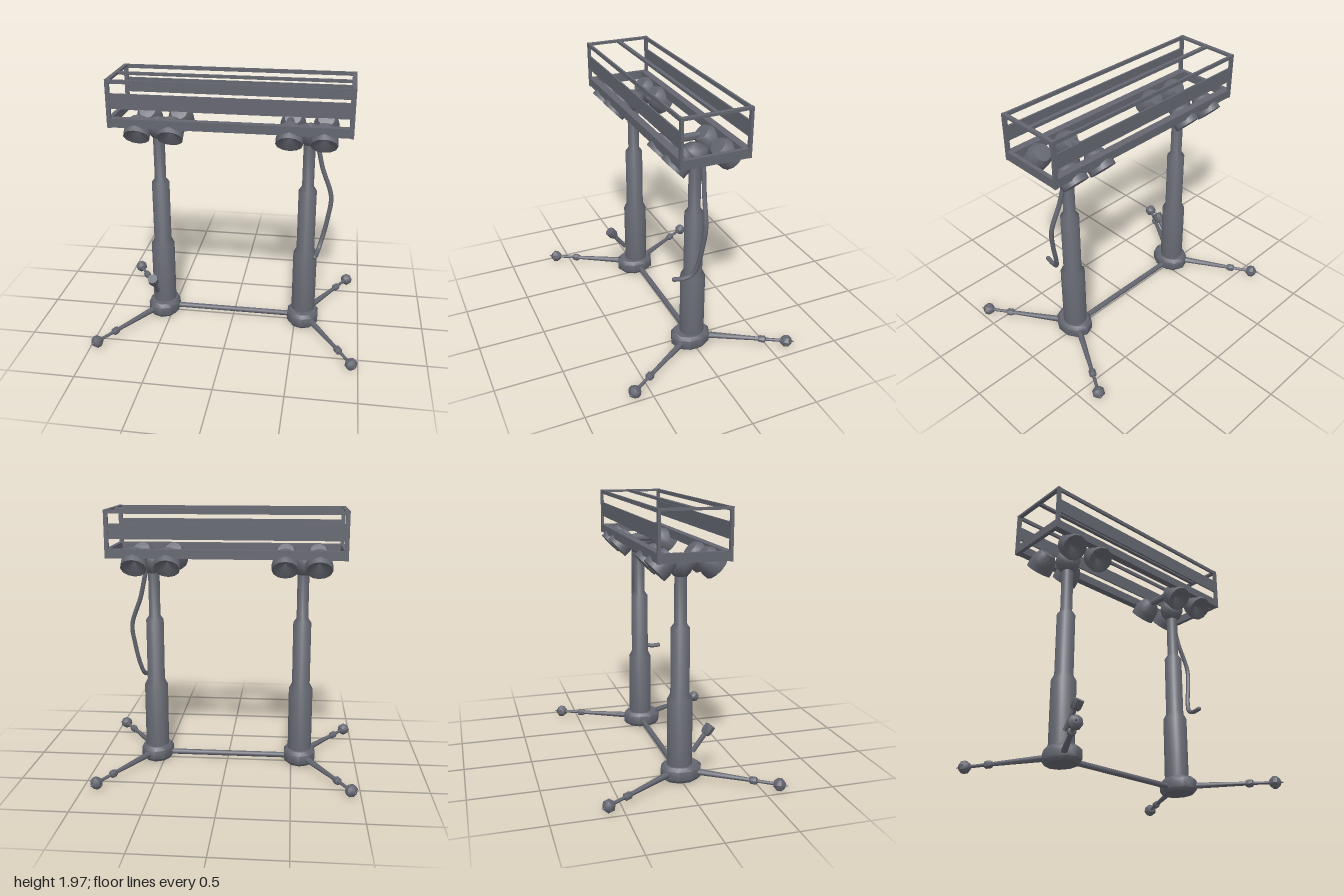
import * as THREE from 'three';
import { toCreasedNormals } from 'three/addons/utils/BufferGeometryUtils.js';

const steel = new THREE.MeshStandardMaterial({ color: 0x646670 });
steel.name = 'grey steel';

const V = (x, y, z) => new THREE.Vector3(x, y, z);
const UP = V(0, 1, 0);

export function createModel() {
  const model = new THREE.Group();
  model.name = 'lightingTower';

  function add(parent, name, geometry) {
    const mesh = new THREE.Mesh(geometry, steel);
    mesh.name = name;
    parent.add(mesh);
    return mesh;
  }

  function group(name) {
    const g = new THREE.Group();
    g.name = name;
    model.add(g);
    return g;
  }

  function box(parent, name, size, pos) {
    add(parent, name, new THREE.BoxGeometry(...size)).position.set(...pos);
  }

  // Turned part: profile of [radius, height] pairs, bottom to top
  function turned(parent, name, profile, sides, crease = 0.7) {
    const pts = profile.map(([r, y]) => new THREE.Vector2(r, y));
    return add(parent, name, toCreasedNormals(new THREE.LatheGeometry(pts, sides), crease));
  }

  // Place a turned part so that its axis runs from a point along a direction
  function aim(mesh, origin, dir) {
    mesh.position.copy(origin);
    mesh.quaternion.setFromUnitVectors(UP, dir.clone().normalize());
  }

  function rod(parent, name, a, b, r0, r1 = r0, sides = 10) {
    const d = b.clone().sub(a);
    const l = d.length();
    aim(turned(parent, name, [[0, 0], [r0, 0], [r1, l], [0, l]], sides), a, d);
  }

  // Telescopic columns with base collar and swivel head
  for (const x of [-0.565, 0.56]) {
    const column = group(x < 0 ? 'rightColumn' : 'leftColumn');
    turned(column, 'mast', [
      [0, 0.02], [0.091, 0.02], [0.091, 0.6], [0.068, 0.645],
      [0.068, 1.12], [0.044, 1.155], [0.044, 1.6], [0, 1.6],
    ], 16).position.x = x;
    const base = turned(column, 'baseCollar', [
      [0, 0], [0.105, 0], [0.125, 0.025], [0.125, 0.09], [0.105, 0.115], [0, 0.115],
    ], 10);
    base.position.set(x, 0, 0.012);
    base.scale.z = 1.22;
    turned(column, 'swivelHead', [
      [0, 1.48], [0.05, 1.485], [0.08, 1.52], [0.095, 1.575], [0.085, 1.62], [0, 1.645],
    ], 8, 1.2).position.x = x;
  }
  rod(model, 'groundBar', V(-0.5, 0.045, 0), V(0.5, 0.045, 0), 0.021);

  // Splayed legs: start x, foot x, foot z
  const legs = [
    [-0.6, -0.93, -0.6], [0.59, 0.9, -0.63],
    [-0.6, -0.95, 0.615], [0.6, 0.95, 0.62],
  ];
  for (const [sx, fx, fz] of legs) {
    const leg = group('leg');
    const start = V(sx, 0.06, Math.sign(fz) * 0.07);
    const foot = V(fx, 0.042, fz);
    const dir = foot.clone().sub(start).normalize();
    const joint = start.clone().lerp(foot, 0.715);
    rod(leg, 'upperLeg', start, joint, 0.025, 0.014);
    rod(leg, 'lowerLeg', joint, foot, 0.012);
    aim(turned(leg, 'legJoint', [
      [0, -0.03], [0.02, -0.03], [0.028, -0.015], [0.028, 0.02], [0.015, 0.03], [0, 0.03],
    ], 8), joint, dir);
    aim(turned(leg, 'footKnob', [
      [0, -0.042], [0.022, -0.042], [0.046, -0.015], [0.046, 0.015],
      [0.022, 0.038], [0.008, 0.042], [0, 0.065],
    ], 8), foot, dir);
  }

  // Box frame on top
  const frame = group('topFrame');
  for (const z of [-0.24, 0.245]) {
    const inner = z - Math.sign(z) * 0.02;
    box(frame, 'lowerRail', [1.74, 0.065, 0.055], [0, 1.655, inner]);
    box(frame, 'upperRail', [1.74, 0.028, 0.016], [0, 1.955, z]);
    box(frame, 'sidePanel', [1.7, 0.11, 0.012], [0, 1.815, z]);
    for (const x of [-0.86, 0.855]) {
      box(frame, 'cornerPost', [0.03, 0.35, 0.02], [x, 1.795, z]);
    }
  }
  for (const x of [-0.86, 0.855]) {
    box(frame, 'upperEndBar', [0.03, 0.018, 0.49], [x, 1.96, 0.003]);
    box(frame, 'lowerEndBar', [0.03, 0.065, 0.49], [x, 1.655, 0.003]);
  }
  box(frame, 'centreRail', [1.72, 0.02, 0.028], [0, 1.958, 0]);

  // Floodlights angled outward and down, with a hollow conical reflector
  for (const x of [-0.675, -0.43, 0.425, 0.67]) {
    for (const side of [-1, 1]) {
      const lamp = turned(model, 'floodlight', [
        [0, 0], [0.062, 0.004], [0.086, 0.045], [0.097, 0.1], [0.097, 0.155],
        [0.088, 0.155], [0, 0.09],
      ], 12);
      aim(lamp, V(x, 1.653, side * 0.105), V(0, -0.68, side * 0.72));
    }
  }
  rod(model, 'lampBracket', V(0.41, 1.625, -0.13), V(0.41, 1.625, 0.13), 0.028);

  // Loose cable hanging from the left column
  const cable = new THREE.CatmullRomCurve3([
    V(0.59, 1.58, -0.04), V(0.62, 1.47, -0.035), V(0.66, 1.3, -0.025),
    V(0.735, 1.08, -0.005), V(0.72, 0.92, 0.01), V(0.69, 0.77, 0.025),
    V(0.665, 0.68, 0.06), V(0.65, 0.655, 0.12), V(0.64, 0.66, 0.185),
  ]);
  const tube = new THREE.TubeGeometry(cable, 40, 0.017, 8);
  add(model, 'cable', tube);
  for (const t of [0, 1]) {
    const cap = add(model, 'cableEnd', new THREE.SphereGeometry(0.017, 8, 6));
    cap.position.copy(cable.getPoint(t));
  }

  // Crank handle on the right column
  const crank = group('crankHandle');
  const grip = V(-0.605, 0.365, 0.2);
  const root = V(-0.605, 0.21, 0.085);
  rod(crank, 'crankShaft', root, grip, 0.018);
  aim(turned(crank, 'crankGrip', [
    [0, -0.04], [0.03, -0.04], [0.04, -0.02], [0.04, 0.035], [0, 0.035],
  ], 8), grip, grip.clone().sub(root));

  return model;
}
